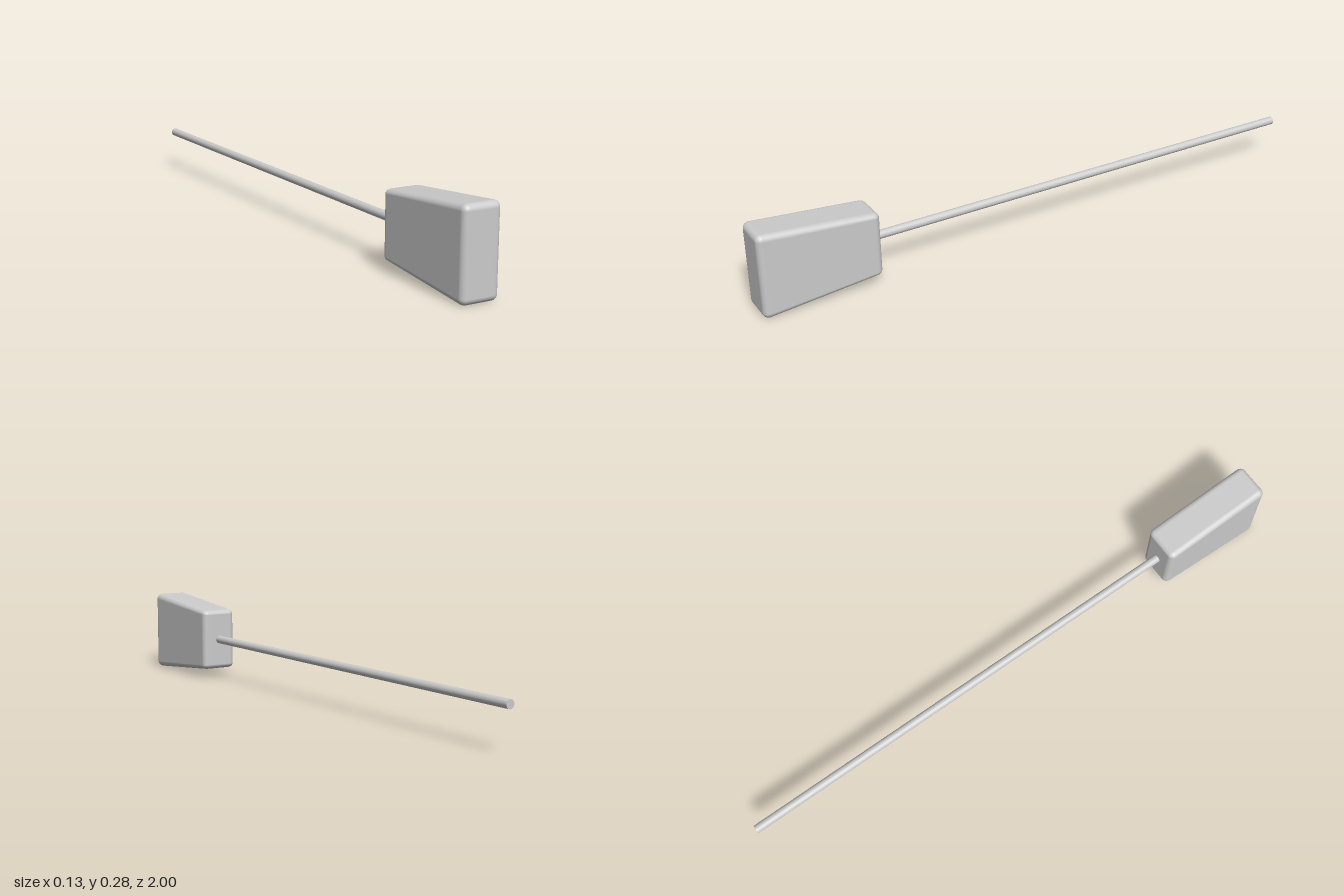
import * as THREE from 'three';
import { RoundedBoxGeometry } from 'three/addons/geometries/RoundedBoxGeometry.js';

const HEIGHT = 0.283, WIDTH = 0.126, DEPTH = 0.395, BEVEL = 0.02;
const MID_Y = HEIGHT / 2;

// Rounded block whose height shrinks linearly towards the back
function taperedBlock() {
  const geo = new RoundedBoxGeometry(WIDTH, HEIGHT, DEPTH, 4, BEVEL);
  const pos = geo.attributes.position, nor = geo.attributes.normal;
  const front = DEPTH / 2 - BEVEL, slope = 0.23 / (DEPTH - 2 * BEVEL);
  const n = new THREE.Vector3();
  for (let i = 0; i < pos.count; i++) {
    const y = pos.getY(i);
    const s = 1 + slope * (Math.min(pos.getZ(i), front) - front);
    pos.setY(i, y * s);
    // matching change of the normals keeps the rounded edges smooth
    n.fromBufferAttribute(nor, i);
    n.set(n.x, n.y / s, n.z - (y * slope * n.y) / s).normalize();
    nor.setXYZ(i, n.x, n.y, n.z);
  }
  return geo;
}

export function createModel() {
  const group = new THREE.Group();
  const material = new THREE.MeshStandardMaterial({ color: 0xcccccc });

  // Mallet head, tall end facing forward
  const head = new THREE.Mesh(taperedBlock(), material);
  head.name = 'head';
  head.position.set(0, MID_Y, 1 - DEPTH / 2);

  // Long round handle, set slightly into the head
  const handleFront = 1 - DEPTH + 0.02;
  const handleLength = handleFront + 1;
  const handle = new THREE.Mesh(new THREE.CylinderGeometry(0.014, 0.014, handleLength, 32), material);
  handle.name = 'handle';
  handle.rotation.x = Math.PI / 2;
  handle.position.set(0, MID_Y, -1 + handleLength / 2);

  group.add(head, handle);
  return group;
}
